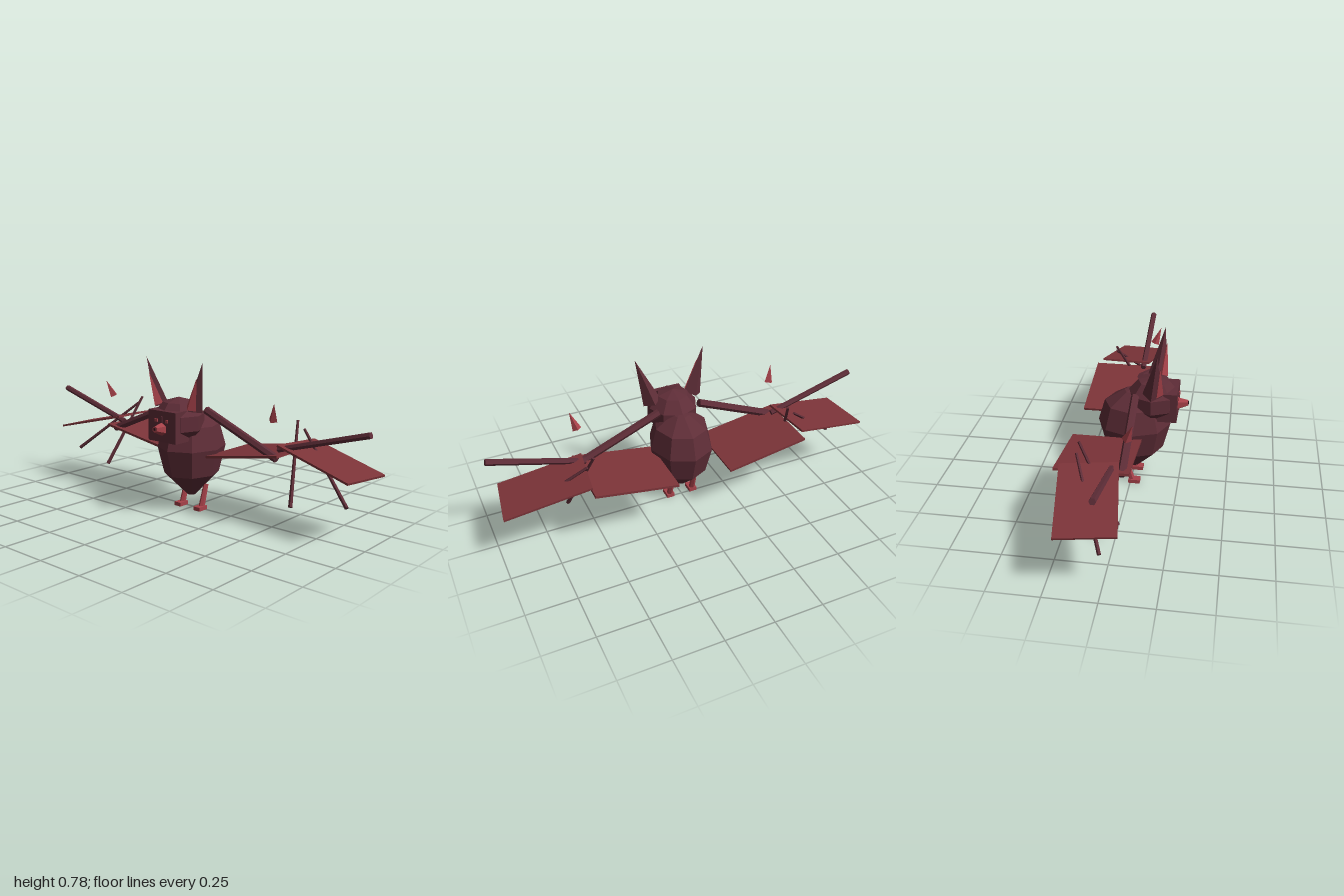
import * as THREE from 'three';

const mat = (name, color) => {
  const m = new THREE.MeshStandardMaterial({ color, flatShading: true });
  m.name = name;
  return m;
};
const V = (x, y, z) => new THREE.Vector3(x, y, z);

export function createModel() {
  const fur = mat('dark maroon fur', 0x5e2d37);
  const skin = mat('wing membrane red', 0x7d3439);
  const accent = mat('bright skin red', 0xa64149);
  const dark = mat('dark pupil', 0x2a1218);
  const model = new THREE.Group();
  model.name = 'bat';

  const add = (parent, name, geo, material, x = 0, y = 0, z = 0) => {
    const m = new THREE.Mesh(geo, material);
    m.name = name;
    m.position.set(x, y, z);
    parent.add(m);
    return m;
  };

  // Tapered prism or cone running from point a to point b
  const rod = (parent, name, a, b, ra, rb, sides, material) => {
    const dir = b.clone().sub(a);
    const m = add(parent, name, new THREE.CylinderGeometry(rb, ra, dir.length(), sides), material);
    m.position.copy(a).add(b).multiplyScalar(0.5);
    m.quaternion.setFromUnitVectors(V(0, 1, 0), dir.normalize());
    return m;
  };

  // Thin plate through four corners, counter-clockwise seen from above
  const plate = (parent, name, corners, t, material) => {
    const n = corners[1].clone().sub(corners[0])
      .cross(corners[3].clone().sub(corners[0])).normalize().multiplyScalar(t / 2);
    const pts = [...corners.map(c => c.clone().add(n)), ...corners.map(c => c.clone().sub(n))];
    const index = [0, 1, 2, 0, 2, 3, 4, 6, 5, 4, 7, 6];
    for (let i = 0; i < 4; i++) {
      const j = (i + 1) % 4;
      index.push(i, i + 4, j + 4, i, j + 4, j);
    }
    const indexed = new THREE.BufferGeometry().setFromPoints(pts);
    indexed.setIndex(index);
    const geo = indexed.toNonIndexed();
    geo.computeVertexNormals();
    return add(parent, name, geo, material);
  };

  // Egg-shaped body with eight sides
  const profile = [[0, 0.07], [0.022, 0.072], [0.133, 0.19], [0.165, 0.33], [0.135, 0.445], [0.045, 0.51], [0, 0.52]];
  const body = add(model, 'body',
    new THREE.LatheGeometry(profile.map(p => new THREE.Vector2(...p)), 8), fur, 0, 0, 0.012);
  body.scale.z = 1.13;

  // Head, flat face block and snout
  const head = add(model, 'head', new THREE.SphereGeometry(0.135, 8, 5), fur, 0, 0.475, 0.11);
  head.scale.y = 0.89;
  add(model, 'faceBlock', new THREE.BoxGeometry(0.18, 0.155, 0.135), fur, 0, 0.4625, 0.1675);
  rod(model, 'snout', V(0, 0.45, 0.225), V(0, 0.457, 0.285), 0.036, 0.016, 6, accent);
  add(model, 'noseTip', new THREE.BoxGeometry(0.012, 0.012, 0.004), dark, 0, 0.457, 0.286);

  for (const s of [1, -1]) {
    const side = new THREE.Group();
    side.name = s > 0 ? 'leftSide' : 'rightSide';
    model.add(side);
    const P = (x, y, z) => V(s * x, y, z);
    // Keeps the corner order facing up on the mirrored side
    const quad = c => (s > 0 ? c : c.slice().reverse());

    // Eyes and ears
    add(side, 'eye', new THREE.BoxGeometry(0.016, 0.016, 0.008), accent, s * 0.034, 0.492, 0.237);
    rod(side, 'ear', P(0.112, 0.545, 0.115), P(0.185, 0.785, 0.146), 0.048, 0, 4, fur);
    rod(side, 'innerEar', P(0.108, 0.55, 0.14), P(0.158, 0.71, 0.158), 0.03, 0, 4, accent);

    // Wing bones, fingers and thumb claw
    rod(side, 'upperArm', P(0.11, 0.53, 0.03), P(0.54, 0.35, 0.03), 0.02, 0.02, 6, fur);
    rod(side, 'forearm', P(0.52, 0.385, -0.012), P(0.995, 0.522, -0.012), 0.015, 0.016, 6, fur);
    rod(side, 'innerFinger', P(0.525, 0.503, -0.165), P(0.62, 0.13, 0.025), 0.007, 0.011, 5, fur);
    rod(side, 'outerFinger', P(0.56, 0.463, -0.17), P(0.895, 0.175, -0.01), 0.007, 0.01, 5, fur);
    rod(side, 'thumbClaw', P(0.531, 0.535, 0.052), P(0.555, 0.62, 0.083), 0.023, 0, 4, accent);

    // Inner and outer membranes
    plate(side, 'innerMembrane', quad([
      P(0.14, 0.3, 0.068), P(0.565, 0.37, 0.068), P(0.565, 0.37, -0.284), P(0.14, 0.3, -0.284),
    ]), 0.012, skin);
    plate(side, 'outerMembrane', quad([
      P(0.53, 0.41, 0.018), P(0.943, 0.313, 0.078), P(0.98, 0.303, -0.192), P(0.565, 0.4, -0.253),
    ]), 0.01, skin);

    // Legs and feet
    rod(side, 'leg', P(0.065, 0.128, -0.025), P(0.065, 0.012, 0.01), 0.013, 0.016, 6, accent);
    add(side, 'foot', new THREE.BoxGeometry(0.042, 0.02, 0.06), accent, s * 0.065, 0.01, 0.021);
  }
  return model;
}
